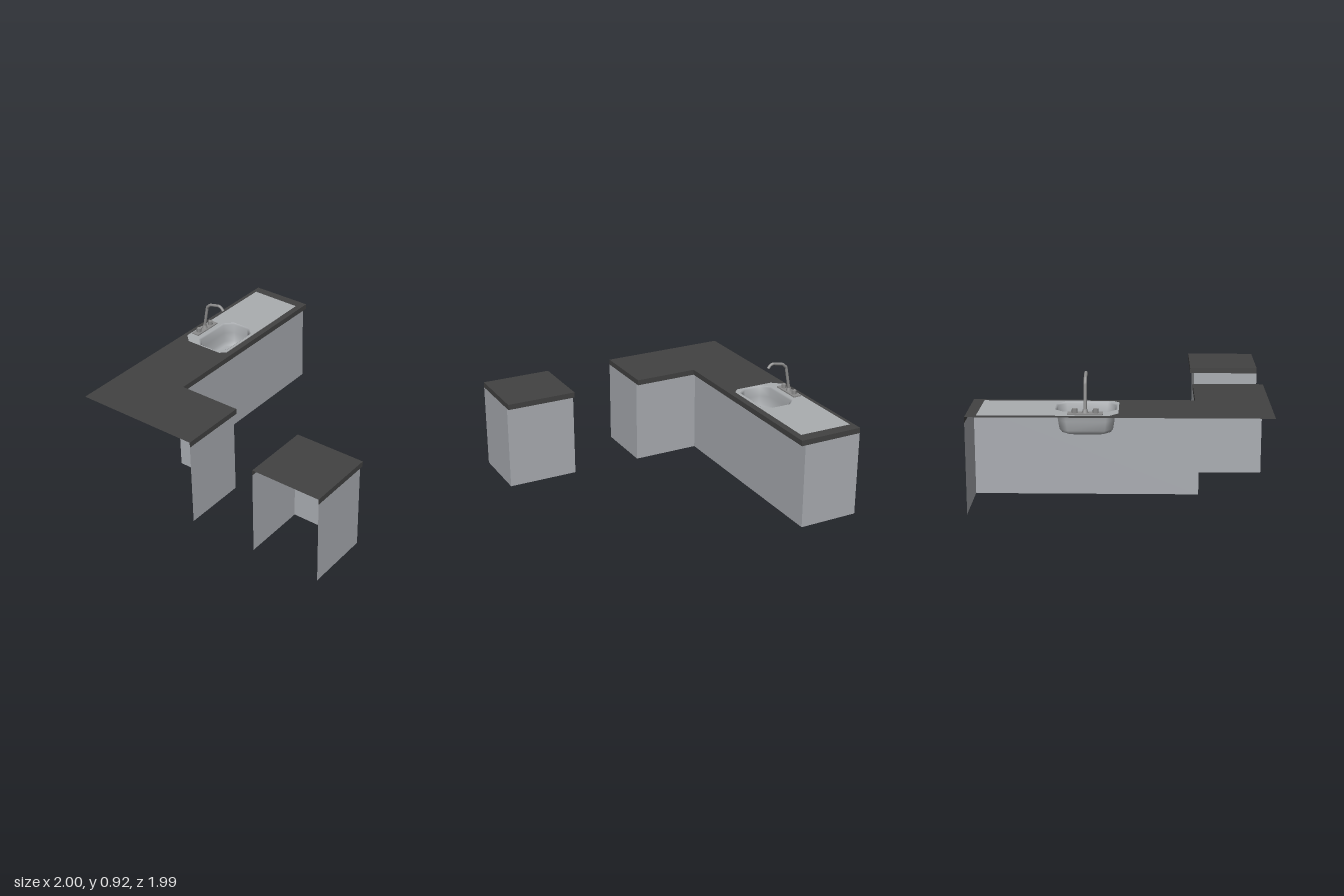
import * as THREE from 'three';

const mat = (name, color) => new THREE.MeshStandardMaterial({ name, color, side: THREE.DoubleSide });

const TOP = 0.66, UNDER = 0.62; // worktop top and underside heights

// Flat horizontal sheet from [x, z] corners, facing up, with an optional hole
function sheet(points, y, hole) {
  const toV = ([x, z]) => new THREE.Vector2(x, -z);
  const shape = new THREE.Shape(points.map(toV));
  if (hole) shape.holes.push(new THREE.Path(hole.map(toV)));
  return new THREE.ShapeGeometry(shape).rotateX(-Math.PI / 2).translate(0, y, 0);
}

// Octagon: rectangle with cut corners
function octagon(inset) {
  const x0 = 0.02 + inset, x1 = 0.43 - inset, z0 = -0.855 + inset, z1 = -0.587 - inset;
  const c = 0.06 - inset * 0.2;
  return [[x0 + c, z1], [x1 - c, z1], [x1, z1 - c], [x1, z0 + c],
    [x1 - c, z0], [x0 + c, z0], [x0, z0 + c], [x0, z1 - c]];
}

// Sink bowl lofted through octagonal rings, closed at the bottom
function bowlGeometry() {
  const rings = [[0.664, 0], [0.655, 0.012], [0.59, 0.018], [0.525, 0.028], [0.5, 0.045], [0.49, 0.075]];
  const pos = [], index = [], n = 8;
  rings.forEach(([y, inset]) => octagon(inset).forEach(([x, z]) => pos.push(x, y, z)));
  for (let r = 0; r < rings.length - 1; r++) {
    for (let i = 0; i < n; i++) {
      const a = r * n + i, b = r * n + (i + 1) % n;
      index.push(a, a + n, b, b, a + n, b + n);
    }
  }
  const last = (rings.length - 1) * n, centre = rings.length * n;
  pos.push(0.225, 0.488, -0.721);
  for (let i = 0; i < n; i++) index.push(last + i, centre, last + (i + 1) % n);
  // rings run so that the inner side of the bowl is the front
  for (let i = 0; i < index.length; i += 3) [index[i + 1], index[i + 2]] = [index[i + 2], index[i + 1]];
  const g = new THREE.BufferGeometry();
  g.setAttribute('position', new THREE.Float32BufferAttribute(pos, 3));
  g.setIndex(index);
  g.computeVertexNormals();
  return g;
}

export function createModel() {
  const model = new THREE.Group();
  model.name = 'kitchenUnits';
  const cabinet = mat('cabinetGrey', 0xaaadb2);
  const worktop = mat('worktopCharcoal', 0x424242);
  const steel = mat('sinkSteel', 0xaaadb0);
  const chrome = mat('tapChrome', 0x8c8c8c);

  const add = (name, geometry, material, parent = model) => {
    const m = new THREE.Mesh(geometry, material);
    m.name = name;
    parent.add(m);
    return m;
  };

  // Thin upright panels along a path of [x, z] points
  const walls = (name, path, y0, y1, material, parent) => {
    for (let i = 0; i < path.length - 1; i++) {
      const [ax, az] = path[i], [bx, bz] = path[i + 1];
      const g = new THREE.PlaneGeometry(Math.hypot(bx - ax, bz - az), y1 - y0);
      g.rotateY(-Math.atan2(bz - az, bx - ax)).translate((ax + bx) / 2, (y0 + y1) / 2, (az + bz) / 2);
      add(name, g, material, parent);
    }
  };

  const B = -0.993, F = 0.993; // back and front limits

  // L-shaped run, open towards the walls behind it
  const run = new THREE.Group();
  run.name = 'cornerRun';
  model.add(run);
  walls('cabinetPanel', [[-1, -0.045], [-0.53, -0.045], [-0.53, -0.55], [1, -0.55], [1, B]], 0, UNDER, cabinet, run);
  const edge = [[-1, -0.045], [-0.5, -0.045], [-0.5, -0.52], [1, -0.52], [1, B]];
  walls('worktopEdge', edge, UNDER, TOP, worktop, run);
  add('worktop', sheet([...edge, [-1, B]], TOP, octagon(-0.002)), worktop, run);
  add('worktopLip', sheet([[-0.53, -0.045], [-0.5, -0.045], [-0.5, -0.52], [1, -0.52], [1, -0.55], [-0.53, -0.55]], UNDER), worktop, run);

  // Separate square unit
  const unit = new THREE.Group();
  unit.name = 'separateUnit';
  model.add(unit);
  walls('cabinetPanel', [[-1, F], [-0.53, F], [-0.53, 0.475], [-1, 0.475]], 0, UNDER, cabinet, unit);
  const unitEdge = [[-1, F], [-0.5, F], [-0.5, 0.475], [-1, 0.475]];
  walls('worktopEdge', unitEdge, UNDER, TOP, worktop, unit);
  add('worktop', sheet(unitEdge, TOP), worktop, unit);
  add('worktopLip', sheet([[-0.53, F], [-0.5, F], [-0.5, 0.475], [-0.53, 0.475]], UNDER), worktop, unit);

  // Sink: drainer plate and bowl
  const sink = new THREE.Group();
  sink.name = 'sink';
  model.add(sink);
  const plate = [[0.05, -0.563], [0.922, -0.563], [0.928, -0.96], [0.07, -0.96], [0.01, -0.895], [0.01, -0.605]];
  add('drainer', sheet(plate, 0.664, octagon(0)), steel, sink);
  add('bowl', bowlGeometry(), steel, sink);

  // Mixer tap: base, two knobs, collar and bent spout
  const tap = new THREE.Group();
  tap.name = 'tap';
  tap.position.set(0.225, 0, -0.915);
  model.add(tap);
  add('tapBase', new THREE.BoxGeometry(0.23, 0.012, 0.06), chrome, tap).position.y = 0.667;
  for (const s of [-1, 1]) {
    add('tapKnob', new THREE.CylinderGeometry(0.019, 0.021, 0.03, 5).toNonIndexed(), chrome, tap).position.set(s * 0.068, 0.686, 0);
  }
  add('spoutCollar', new THREE.CylinderGeometry(0.014, 0.022, 0.025, 8), chrome, tap).position.y = 0.685;
  const spout = new THREE.CurvePath();
  const pts = [[0.69, 0], [0.862, 0.032], [0.89, 0.062], [0.908, 0.145], [0.9, 0.168], [0.878, 0.185]]
    .map(([y, z]) => new THREE.Vector3(0, y, z));
  for (let i = 0; i < pts.length - 1; i++) spout.add(new THREE.LineCurve3(pts[i], pts[i + 1]));
  add('spout', new THREE.TubeGeometry(spout, 32, 0.011, 8), chrome, tap);
  return model;
}
